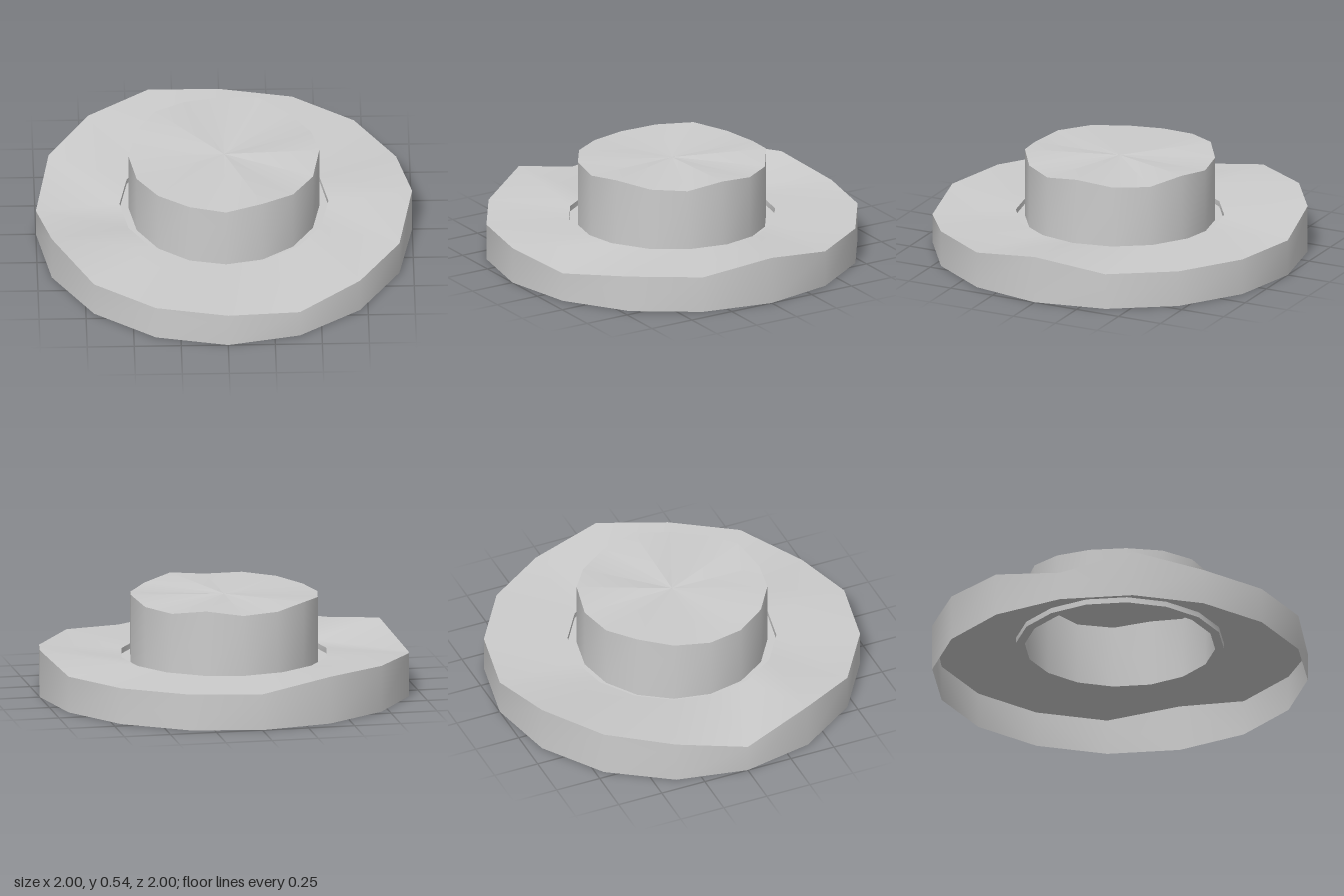
import * as THREE from 'three';

const SIDES = 16;
const metal = new THREE.MeshStandardMaterial({ color: 0xcccccc, side: THREE.DoubleSide });
metal.name = 'plain grey';

// One 16-sided loop, counted from the front towards +x; height is a number or one value per corner
function loop(radius, height) {
  return Array.from({ length: SIDES }, (_, k) => {
    const a = (k / SIDES) * Math.PI * 2;
    const y = Array.isArray(height) ? height[k] : height;
    return [radius * Math.sin(a), y, radius * Math.cos(a)];
  });
}

// Smooth strip of faces joining two loops; separate strips keep the edges between them sharp
function band(name, lower, upper) {
  const index = [];
  for (let k = 0; k < SIDES; k++) {
    const n = (k + 1) % SIDES;
    index.push(k, n, SIDES + n, k, SIDES + n, SIDES + k);
  }
  const geometry = new THREE.BufferGeometry();
  geometry.setAttribute('position', new THREE.Float32BufferAttribute([...lower, ...upper].flat(), 3));
  geometry.setIndex(index);
  geometry.computeVertexNormals();
  const mesh = new THREE.Mesh(geometry, metal);
  mesh.name = name;
  return mesh;
}

export function createModel() {
  const model = new THREE.Group();
  model.name = 'flangedHub';

  // Uneven rims of the flange and the hub
  const rimHeights = [0.195, 0.155, 0.195, 0.195, 0.255, 0.195, 0.195, 0.195,
    0.195, 0.255, 0.25, 0.235, 0.155, 0.255, 0.195, 0.195];
  const hubHeights = [0.51, 0.535, 0.512, 0.505, 0.535, 0.51, 0.505, 0.535,
    0.51, 0.515, 0.535, 0.52, 0.507, 0.505, 0.515, 0.52];

  const base = loop(1, 0);
  const rim = loop(1, rimHeights);
  const grooveEdge = loop(0.555, 0.195);
  const grooveOuter = loop(0.555, 0.165);
  const grooveInner = loop(0.507, 0.165);
  const hubRim = loop(0.507, hubHeights);
  const hubCentre = loop(0.001, 0.517);

  // Open shell from the bottom edge to the hub cap
  model.add(
    band('flangeWall', base, rim),
    band('flangeTop', rim, grooveEdge),
    band('grooveWall', grooveEdge, grooveOuter),
    band('grooveFloor', grooveOuter, grooveInner),
    band('hubWall', grooveInner, hubRim),
    band('hubCap', hubRim, hubCentre),
  );
  return model;
}
